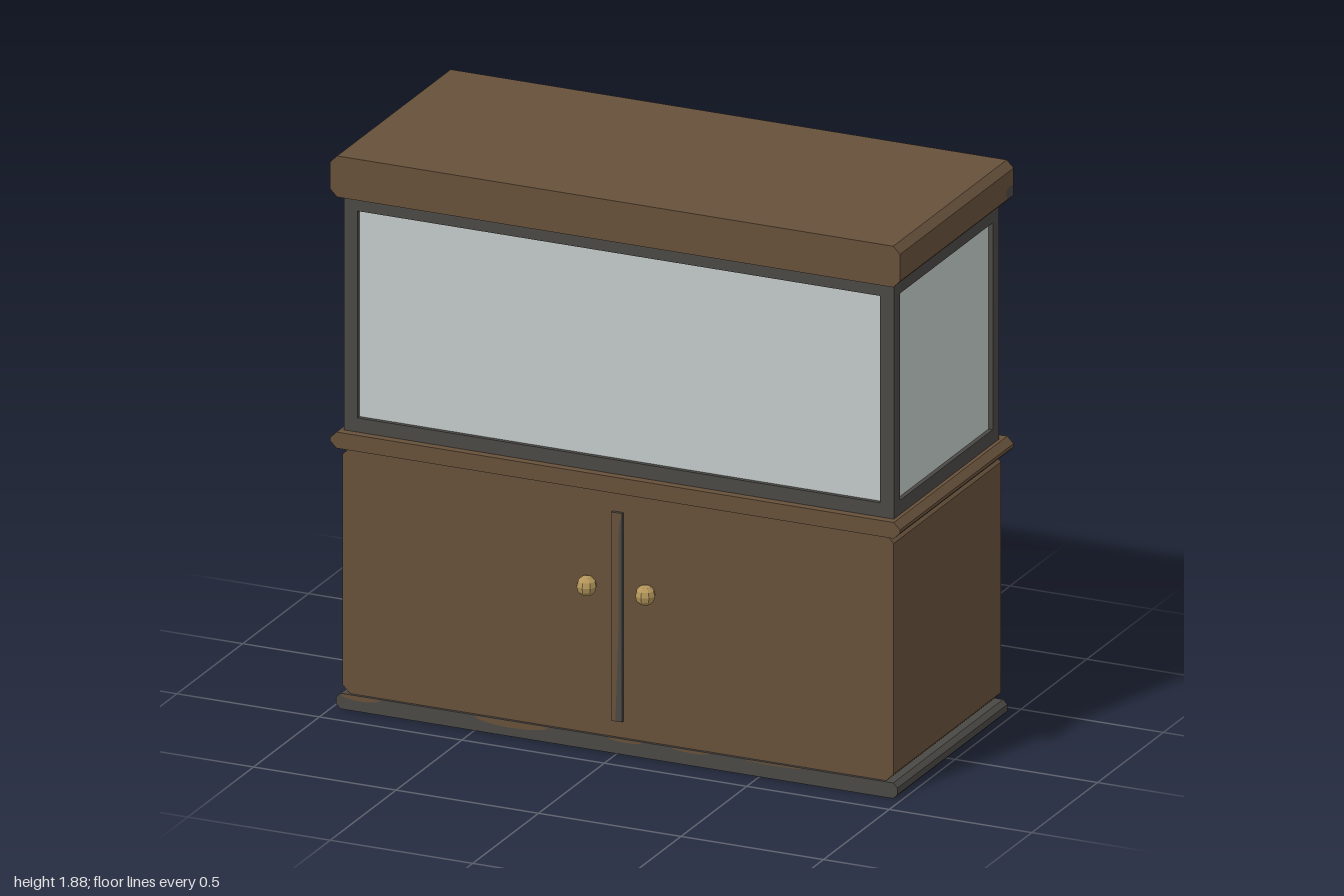
import * as THREE from 'three';

export function createModel() {
  const root = new THREE.Group();
  root.name = 'aquariumCabinet';
  const mat = (name, color) => {
    const m = new THREE.MeshStandardMaterial({ color });
    m.name = name;
    return m;
  };
  const wood = mat('brown wood', 0x66503a);
  const dark = mat('charcoal trim', 0x4a4844);
  const glass = mat('pale glass', 0xc0c9c7);
  const brass = mat('brass', 0xb3955a);
  brass.flatShading = true;

  const add = (name, geo, material, x = 0, y = 0, z = 0, parent = root) => {
    const mesh = new THREE.Mesh(geo, material);
    mesh.name = name;
    mesh.position.set(x, y, z);
    parent.add(mesh);
    return mesh;
  };

  // Slab with chamfered side edges, run from back to front
  const slab = (name, material, w, y0, y1, z0, z1, c) => {
    const s = new THREE.Shape([
      [-w + c, y0], [w - c, y0], [w, y0 + c], [w, y1 - c],
      [w - c, y1], [-w + c, y1], [-w, y1 - c], [-w, y0 + c],
    ].map(([x, y]) => new THREE.Vector2(x, y)));
    const geo = new THREE.ExtrudeGeometry(s, { depth: z1 - z0, bevelEnabled: false });
    return add(name, geo, material, 0, 0, z0);
  };
  slab('plinth', dark, 0.985, 0, 0.053, -0.43, 0.405, 0.015);
  slab('cabinetBody', wood, 0.967, 0.053, 0.89, -0.42, 0.395, 0.026);
  slab('ledge', wood, 1, 0.89, 0.945, -0.445, 0.418, 0.022);
  slab('crown', wood, 1, 1.745, 1.885, -0.445, 0.418, 0.024);

  // Tank: corner posts and rails around recessed glass
  const tank = new THREE.Group();
  tank.name = 'tank';
  root.add(tank);
  const X = 0.965, Z0 = -0.41, Z1 = 0.39, Y0 = 0.945, Y1 = 1.745, B = 0.048;
  const zc = (Z0 + Z1) / 2, yc = (Y0 + Y1) / 2;
  for (const sx of [-1, 1]) {
    for (const z of [Z0 + B / 2, Z1 - B / 2]) {
      add('cornerPost', new THREE.BoxGeometry(B, Y1 - Y0, B), dark, sx * (X - B / 2), yc, z, tank);
    }
  }
  for (const y of [Y0 + B / 2, Y1 - B / 2]) {
    for (const z of [Z0 + B / 2, Z1 - B / 2]) {
      add('longRail', new THREE.BoxGeometry(2 * (X - B), B, B), dark, 0, y, z, tank);
    }
    for (const sx of [-1, 1]) {
      add('sideRail', new THREE.BoxGeometry(B, B, Z1 - Z0 - 2 * B), dark, sx * (X - B / 2), y, zc, tank);
    }
  }
  add('glassPanes', new THREE.BoxGeometry(2 * X - 0.03, Y1 - Y0 - 0.03, Z1 - Z0 - 0.03), glass, 0, yc, zc, tank);

  // Door divider strip with a brown face on its left half
  add('doorDivider', new THREE.BoxGeometry(0.038, 0.71, 0.02), dark, 0, 0.465, 0.396);
  const face = new THREE.Shape([[-0.019, 0.11], [-0.004, 0.11], [0.006, 0.4], [0.008, 0.78], [0.019, 0.82], [-0.019, 0.82]]
    .map(([x, y]) => new THREE.Vector2(x, y)));
  add('dividerFace', new THREE.ShapeGeometry(face), wood, 0, 0, 0.4075);

  // Door knobs
  for (const sx of [-1, 1]) {
    add('doorKnob', new THREE.SphereGeometry(0.034, 8, 6), brass, sx * 0.103, 0.558, 0.412);
  }

  // Thin worn patches: flat-bottomed humps and small ovals
  const patch = (name, material, r, h, x, y, z, turn, half) => {
    const geo = new THREE.CircleGeometry(1, 16, 0, half ? Math.PI : Math.PI * 2);
    geo.scale(r, h, 1);
    add(name, geo, material, x, y, z).rotation.y = turn;
  };
  const back = -0.422;
  patch('backWear', dark, 0.09, 0.075, 0.02, 0.054, back, Math.PI, true);
  patch('backWear', dark, 0.17, 0.05, -0.13, 0.054, back, Math.PI, true);
  patch('backWear', dark, 0.12, 0.035, -0.34, 0.054, back, Math.PI, true);
  patch('backSpot', dark, 0.065, 0.022, -0.8, 0.235, back, Math.PI, false);
  patch('backSpot', dark, 0.025, 0.012, 0.78, 0.19, back, Math.PI, false);
  patch('crownWear', dark, 0.1, 0.06, -0.23, 1.746, -0.447, Math.PI, true);
  patch('crownWear', dark, 0.1, 0.02, 0.5, 1.746, -0.447, Math.PI, true);
  patch('crownSideWear', dark, 0.03, 0.02, 1.001, 1.79, -0.414, Math.PI / 2, false);
  // Brown wear along the top of the plinth front
  for (const [x, r, h] of [[-0.9, 0.07, 0.016], [-0.37, 0.13, 0.022], [0.03, 0.06, 0.01], [0.26, 0.07, 0.009], [0.55, 0.1, 0.006]]) {
    patch('plinthWear', wood, r, -h, x, 0.052, 0.4065, 0, true);
  }
  // Negative height mirrors the hump, so show both faces there
  wood.side = THREE.DoubleSide;
  return root;
}
